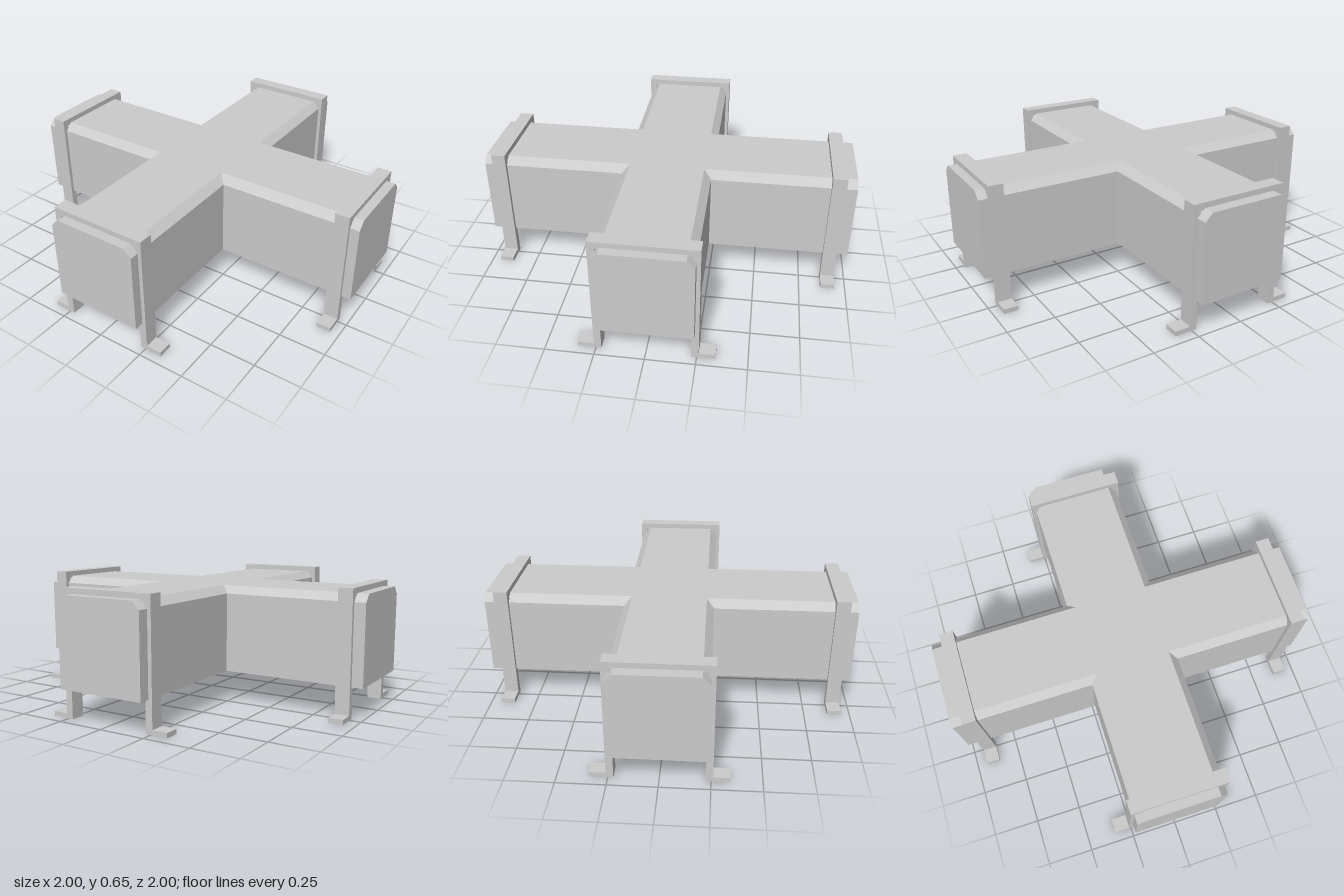
import * as THREE from 'three';

const material = new THREE.MeshStandardMaterial({ color: 0xcccccc, flatShading: true });

// Plus-shaped outline with arms of half-width w reaching out to 1
function crossOutline(w) {
  const points = [];
  for (let k = 0; k < 4; k++) {
    for (let [x, z] of [[1, -w], [1, w], [w, w]]) {
      for (let r = 0; r < k; r++) [x, z] = [-z, x];
      points.push([x, z]);
    }
  }
  return points;
}

// Stacks the outlines [y, halfWidth] and closes both ends around the centre
function crossDuct(levels) {
  const loops = levels.map(([y, w]) => crossOutline(w).map(([x, z]) => [x, y, z]));
  const n = loops[0].length;
  const top = loops.length - 1;
  const positions = [];
  const tri = (...corners) => corners.forEach((c) => positions.push(...c));
  for (let i = 0; i < n; i++) {
    const j = (i + 1) % n;
    for (let l = 0; l < top; l++) {
      const [lo, hi] = [loops[l], loops[l + 1]];
      tri(lo[i], hi[i], lo[j]);
      tri(lo[j], hi[i], hi[j]);
    }
    tri([0, levels[top][0], 0], loops[top][j], loops[top][i]);
    tri([0, levels[0][0], 0], loops[0][i], loops[0][j]);
  }
  const geometry = new THREE.BufferGeometry();
  geometry.setAttribute('position', new THREE.Float32BufferAttribute(positions, 3));
  geometry.computeVertexNormals();
  return geometry;
}

// Strap over the duct with two legs and outward feet
function bracketGeometry() {
  const half = [[0.223, 0.61], [0.223, 0], [0.342, 0], [0.342, 0.025], [0.26, 0.025], [0.26, 0.648]];
  const mirrored = half.map(([x, y]) => [-x, y]).reverse();
  const shape = new THREE.Shape([...half, ...mirrored].map(([x, y]) => new THREE.Vector2(x, y)));
  const depth = 0.075;
  return new THREE.ExtrudeGeometry(shape, { depth, bevelEnabled: false }).translate(0, 0, -depth / 2);
}

export function createModel() {
  const model = new THREE.Group();
  model.name = 'crossDuctOnBrackets';

  const duct = new THREE.Mesh(crossDuct([[0.163, 0.24], [0.58, 0.24], [0.62, 0.2]]), material);
  duct.name = 'crossDuct';
  model.add(duct);

  // One support bracket near the end of each arm
  const bracket = bracketGeometry();
  const places = [
    ['frontBracket', 0, 0.914, 0],
    ['backBracket', 0, -0.904, 0],
    ['leftBracket', 0.914, 0, Math.PI / 2],
    ['rightBracket', -0.904, 0, Math.PI / 2],
  ];
  for (const [name, x, z, turn] of places) {
    const mesh = new THREE.Mesh(bracket, material);
    mesh.name = name;
    mesh.position.set(x, 0, z);
    mesh.rotation.y = turn;
    model.add(mesh);
  }
  return model;
}
